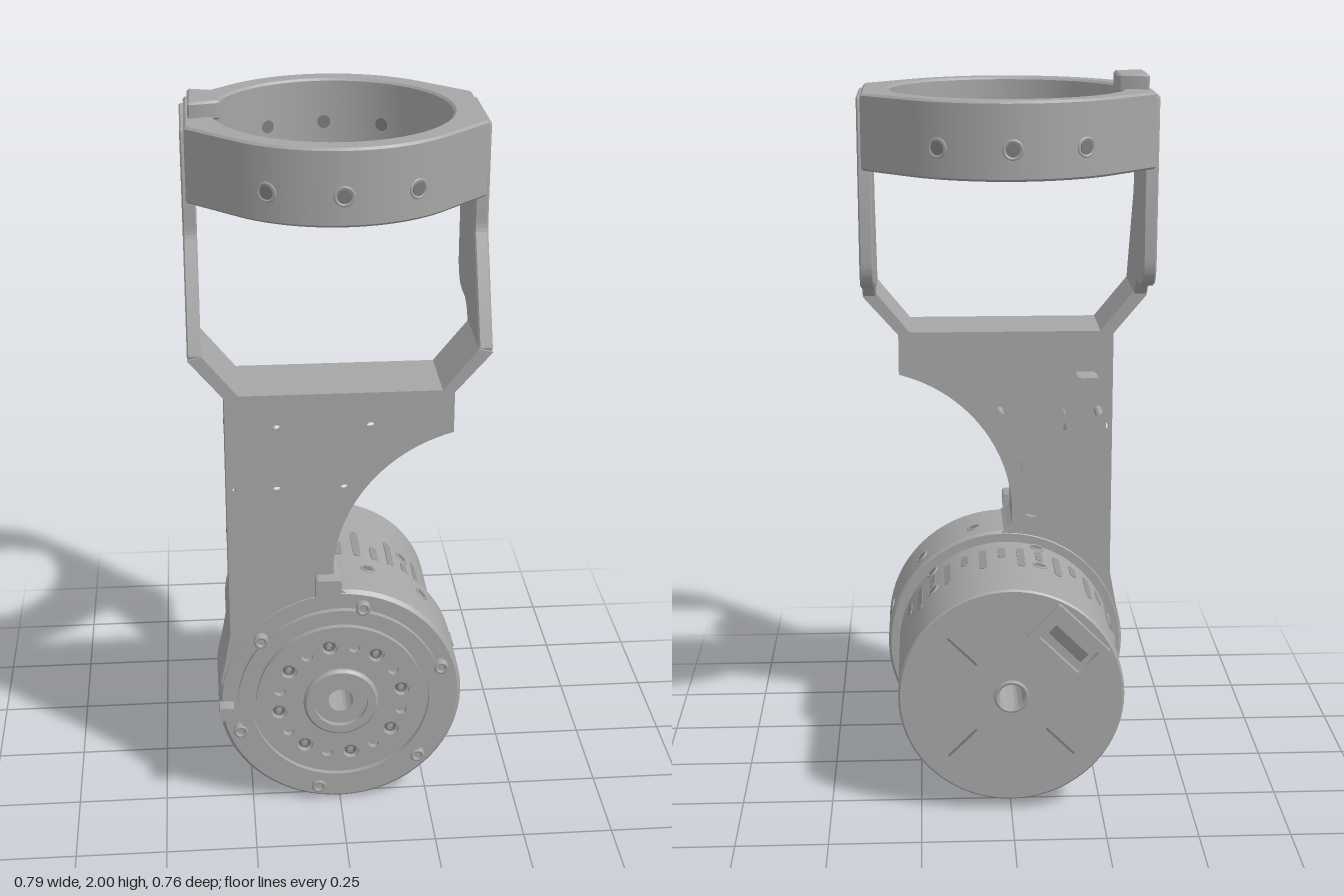
import * as THREE from 'three';
import { toCreasedNormals } from 'three/addons/utils/BufferGeometryUtils.js';

const metal = new THREE.MeshStandardMaterial({ color: 0xa6a6a6 });
metal.name = 'grey metal';
const recess = new THREE.MeshStandardMaterial({ color: 0x7c7c7c });
recess.name = 'dark recess';
const slotGrey = new THREE.MeshStandardMaterial({ color: 0x949494 });
slotGrey.name = 'slot grey';
const RAD = Math.PI / 180;

function add(parent, name, geometry, material = metal) {
  const mesh = new THREE.Mesh(geometry, material);
  mesh.name = name;
  parent.add(mesh);
  return mesh;
}

// Extrusion from z0 to z1, with an optional small chamfer
function slab(shape, z0, z1, bevel = 0) {
  const g = new THREE.ExtrudeGeometry(shape, {
    depth: z1 - z0 - 2 * bevel, curveSegments: 32, bevelEnabled: bevel > 0,
    bevelSize: bevel, bevelOffset: -bevel, bevelThickness: bevel, bevelSegments: 1,
  });
  g.translate(0, 0, z0 + bevel);
  return toCreasedNormals(g, 0.5);
}

function circle(x, y, r) {
  return new THREE.Path().absarc(x, y, r, 0, Math.PI * 2, true);
}

// Polygon with rounded corners; a point may carry its own radius
function rounded(points, radius, Type = THREE.Shape) {
  const path = new Type();
  const pts = points.map((p) => new THREE.Vector2(p[0], p[1]));
  pts.forEach((p, i) => {
    const r = points[i][2] ?? radius;
    const prev = pts[(i + pts.length - 1) % pts.length], next = pts[(i + 1) % pts.length];
    const a = p.clone().add(prev.clone().sub(p).setLength(r));
    const b = p.clone().add(next.clone().sub(p).setLength(r));
    if (i === 0) path.moveTo(a.x, a.y); else path.lineTo(a.x, a.y);
    path.quadraticCurveTo(p.x, p.y, b.x, b.y);
  });
  path.closePath();
  return path;
}

function plateOutline() {
  const s = new THREE.Shape();
  [[-0.305, 0.56], [-0.305, 1.27], [-0.397, 1.38], [-0.36, 1.39], [-0.268, 1.277], [0.268, 1.277],
    [0.36, 1.39], [0.397, 1.38], [0.3, 1.27]].forEach(([x, y], i) => (i ? s.lineTo(x, y) : s.moveTo(x, y)));
  s.absarc(0.41, 0.74, 0.43, 104.8 * RAD, 184 * RAD, false);
  s.lineTo(0, 0.69);
  s.lineTo(0.03, 0.67);
  s.lineTo(0, 0.4);
  s.lineTo(-0.334, 0.4);
  s.closePath();
  return s;
}

function buildBracket(root) {
  const bracket = new THREE.Group();
  bracket.name = 'bracket';
  root.add(bracket);
  const screwHoles = [[-0.17, 1.18], [0.08, 1.18], [-0.28, 1.0], [-0.17, 1.0], [0.01, 1.0]];
  const pockets = [
    [[0.115, 1.25], [0.25, 1.25], [0.25, 1.195], [0.115, 1.13]],
    [[-0.14, 1.25], [0.05, 1.25], [0.05, 1.08], [0, 1.03], [-0.14, 1.03]],
    [[-0.28, 1.25], [-0.2, 1.25], [-0.2, 1.14], [-0.28, 1.14]],
    [[-0.28, 1.115], [-0.165, 1.115], [-0.165, 1.03], [-0.28, 1.03]],
    [[-0.15, 0.97], [-0.025, 0.97], [-0.055, 0.85], [-0.055, 0.73], [-0.15, 0.73]],
    [[-0.28, 0.97], [-0.18, 0.97], [-0.18, 0.71], [-0.28, 0.71]],
  ];
  // Front skin and the ribbed layer behind it
  const skin = plateOutline(), ribs = plateOutline();
  for (const [x, y] of screwHoles) {
    skin.holes.push(circle(x, y, 0.012));
    ribs.holes.push(circle(x, y, 0.012));
  }
  for (const p of pockets) ribs.holes.push(rounded(p, 0.022, THREE.Path));
  add(bracket, 'frontPlate', slab(skin, 0.25, 0.28));
  add(bracket, 'backRibs', slab(ribs, 0.072, 0.25));

  // Upright arms, drawn in side profile
  for (const side of [-1, 1]) {
    const profile = rounded([[-0.13, 1.95, 0.01], [0.13, 1.95, 0.01], [0.13, 1.43, 0.09], [-0.03, 1.43, 0.03],
      [-0.072, 1.38, 0.01], [-0.28, 1.38, 0.02], [-0.13, 1.67, 0.02]], 0.02);
    for (const z of [-0.07, 0.07])
      for (const y of [1.81, 1.91]) profile.holes.push(circle(z, y, 0.02));
    const g = slab(profile, -0.0185, 0.0185, 0.004);
    g.rotateY(Math.PI / 2);
    add(bracket, side > 0 ? 'leftArm' : 'rightArm', g).position.x = side * 0.3785;
  }
  // Screw holes in the straight edge
  for (const y of [0.84, 1.17]) {
    const hole = add(bracket, 'edgeHole', new THREE.CylinderGeometry(0.016, 0.016, 0.006, 20), recess);
    hole.rotation.z = Math.PI / 2;
    hole.position.set(-0.304, y, 0.17);
  }
}

function buildClampRing(root) {
  const ring = new THREE.Group();
  ring.name = 'clampRing';
  root.add(ring);
  // Circular band with a flat flange on each side
  const s = new THREE.Shape();
  s.moveTo(0.386, -0.15);
  s.lineTo(0.386, 0.15);
  s.absarc(0, 0, 0.376, 47 * RAD, 133 * RAD, false);
  s.lineTo(-0.386, 0.15);
  s.lineTo(-0.386, -0.15);
  s.absarc(0, 0, 0.376, 227 * RAD, 313 * RAD, false);
  s.closePath();
  s.holes.push(circle(0, 0, 0.314));
  const g = slab(s, 0, 0.2, 0.006);
  g.rotateX(Math.PI / 2);
  add(ring, 'band', g).position.y = 1.96;
  // Radial set screws
  for (const deg of [-30, 0, 30, 150, 180, 210]) {
    const screw = new THREE.Group();
    screw.name = 'setScrew';
    screw.rotation.y = deg * RAD;
    screw.position.y = 1.84;
    ring.add(screw);
    const core = add(screw, 'screwHole', new THREE.CylinderGeometry(0.018, 0.018, 0.068, 20), recess);
    core.rotation.x = Math.PI / 2;
    core.position.z = 0.345;
    add(screw, 'screwRim', new THREE.TorusGeometry(0.023, 0.005, 6, 20)).position.z = 0.374;
  }
  // Pointer tab on top
  const tab = rounded([[-0.375, -0.08], [-0.29, -0.055], [-0.29, 0.055], [-0.375, 0.075]], 0.012);
  const tg = slab(tab, 0, 0.05, 0.006);
  tg.rotateX(Math.PI / 2);
  add(ring, 'topTab', tg).position.y = 2.0;
}

function buildMotor(root) {
  const motor = new THREE.Group();
  motor.name = 'motor';
  motor.position.y = 0.345;
  root.add(motor);
  // Turned body with the bore through it
  const profile = [[0.035, -0.325], [0.305, -0.325], [0.31, -0.32], [0.31, 0.07], [0.335, 0.07], [0.342, 0.077],
    [0.342, 0.272], [0.332, 0.282], [0.288, 0.282], [0.288, 0.298], [0.25, 0.298], [0.25, 0.284],
    [0.105, 0.284], [0.105, 0.308], [0.098, 0.315], [0.075, 0.315], [0.075, 0.3], [0.035, 0.3], [0.035, -0.325]];
  const body = new THREE.LatheGeometry(profile.map((p) => new THREE.Vector2(...p)), 72);
  body.rotateX(Math.PI / 2);
  add(motor, 'body', toCreasedNormals(body, 0.5));

  // Drilled output disc
  const disc = new THREE.Shape().absarc(0, 0, 0.237, 0, Math.PI * 2, false);
  disc.holes.push(circle(0, 0, 0.104));
  for (let i = 0; i < 16; i++) {
    const a = (10 + i * 22.5) * RAD;
    disc.holes.push(circle(0.175 * Math.cos(a), 0.175 * Math.sin(a), i % 2 ? 0.016 : 0.022));
    if (i % 2) continue;
    const socket = add(motor, 'discScrew', new THREE.TorusGeometry(0.013, 0.005, 6, 16), recess);
    socket.position.set(0.175 * Math.cos(a), 0.175 * Math.sin(a), 0.286);
  }
  add(motor, 'outputDisc', slab(disc, 0.28, 0.3));

  // Screws around the front rim
  for (let i = 0; i < 6; i++) {
    const a = (18 + i * 60) * RAD;
    const head = add(motor, 'rimScrew', new THREE.TorusGeometry(0.015, 0.006, 6, 18));
    head.position.set(0.297 * Math.cos(a), 0.297 * Math.sin(a), 0.297);
    const seat = add(motor, 'rimScrewSeat', new THREE.CylinderGeometry(0.02, 0.02, 0.02, 18));
    seat.rotation.x = Math.PI / 2;
    seat.position.copy(head.position).setZ(0.287);
  }

  // Place a part on the cylinder wall, its y axis pointing outwards
  const onWall = (mesh, deg, r, z) => {
    mesh.position.set(r * Math.cos(deg * RAD), r * Math.sin(deg * RAD), z);
    mesh.rotation.z = (deg - 90) * RAD;
  };
  const slotGeometry = (length) => {
    const h = length / 2 - 0.011, s = new THREE.Shape();
    s.absarc(0, h, 0.011, 0, Math.PI, false);
    s.absarc(0, -h, 0.011, Math.PI, Math.PI * 2, false);
    const g = new THREE.ExtrudeGeometry(s, { depth: 0.004, bevelEnabled: false, curveSegments: 6 });
    g.rotateX(-Math.PI / 2);
    return g;
  };
  const longSlot = slotGeometry(0.145), shortSlot = slotGeometry(0.075);
  // Cooling slots, leaving the two sides plain
  for (let i = 0; i < 36; i++) {
    const deg = 47 + i * 10;
    if (Math.abs(Math.sin(deg * RAD)) < 0.3) continue;
    const slot = add(motor, 'coolingSlot', i % 2 ? longSlot : shortSlot, slotGrey);
    onWall(slot, deg, 0.308, i % 2 ? -0.06 : -0.025);
  }
  const wallScrew = (deg, r, z) => {
    onWall(add(motor, 'wallScrewHole', new THREE.CylinderGeometry(0.014, 0.014, 0.006, 18), recess), deg, r, z);
    const rim = new THREE.TorusGeometry(0.018, 0.004, 6, 18);
    rim.rotateX(Math.PI / 2);
    onWall(add(motor, 'wallScrewRim', rim), deg, r, z);
  };
  for (let i = 0; i < 6; i++)
    for (const z of [-0.1, 0.05]) wallScrew(47 + i * 60, 0.31, z);
  for (let deg = -165; deg < 180; deg += 30) if (deg < 90) wallScrew(deg, 0.342, 0.142);

  // Rear socket
  const frame = rounded([[-0.065, -0.1], [0.065, -0.1], [0.065, 0.1], [-0.065, 0.1]], 0.008);
  frame.holes.push(rounded([[-0.04, -0.075], [0.04, -0.075], [0.04, 0.075], [-0.04, 0.075]], 0.005, THREE.Path));
  const socket = add(motor, 'rearSocket', slab(frame, -0.345, -0.32));
  socket.position.set(-0.155, 0.155, 0);
  socket.rotation.z = 135 * RAD;
  const pins = add(motor, 'socketPins', new THREE.BoxGeometry(0.03, 0.12, 0.012), recess);
  pins.position.set(-0.155, 0.155, -0.329);
  pins.rotation.z = 135 * RAD;
  // Rear bore rim and score lines
  add(motor, 'rearBoreRim', new THREE.TorusGeometry(0.042, 0.006, 6, 32)).position.z = -0.325;
  for (const deg of [45, 225, 315]) {
    const line = add(motor, 'scoreLine', new THREE.BoxGeometry(0.11, 0.006, 0.003), recess);
    line.position.set(0.19 * Math.cos(deg * RAD), 0.19 * Math.sin(deg * RAD), -0.3255);
    line.rotation.z = deg * RAD;
  }

  // Pointer tabs on the front edge
  const upper = rounded([[-0.07, 0.325], [-0.07, 0.395], [0, 0.395], [0, 0.35], [-0.02, 0.325]], 0.01);
  add(motor, 'upperTab', slab(upper, 0.25, 0.32));
  const side = rounded([[-0.342, -0.04], [-0.342, 0.0], [-0.3, 0.0], [-0.3, -0.04]], 0.005);
  add(motor, 'sideTab', slab(side, 0.26, 0.32));
}

export function createModel() {
  const root = new THREE.Group();
  root.name = 'motorBracketAssembly';
  buildBracket(root);
  buildClampRing(root);
  buildMotor(root);
  return root;
}
